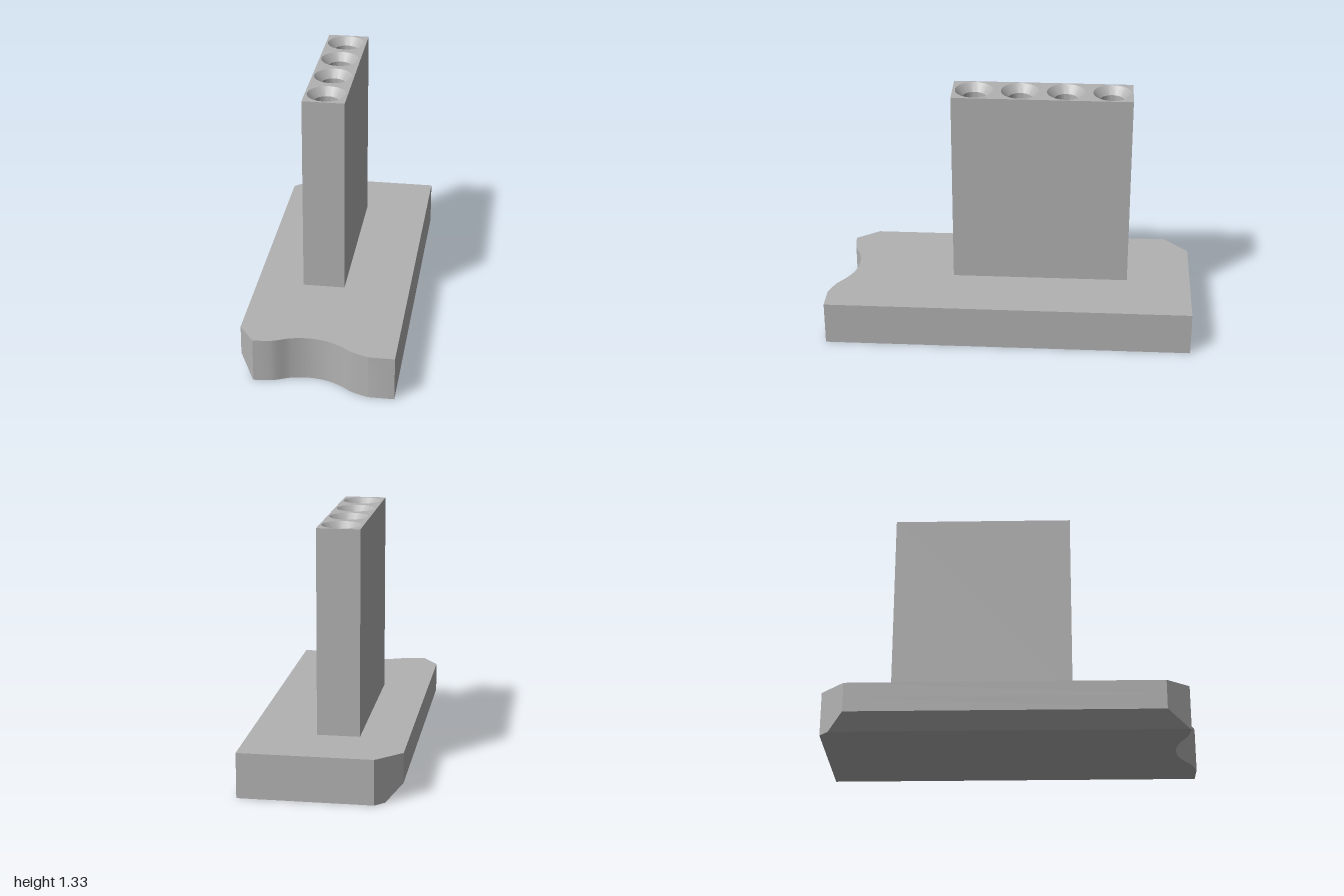
import * as THREE from 'three';
import { toCreasedNormals } from 'three/addons/utils/BufferGeometryUtils.js';

const BASE_TOP = 0.24, COLUMN_TOP = 1.33;
const grey = new THREE.MeshStandardMaterial({ color: 0xb2b2b2 });
grey.name = 'plain grey';

function part(name, geometry) {
  const mesh = new THREE.Mesh(toCreasedNormals(geometry, Math.PI / 7), grey);
  mesh.name = name;
  return mesh;
}

// Extrudes a plan shape (x, -z) upwards from height y.
function extrudeUp(shape, y, depth, steps = 1) {
  const g = new THREE.ExtrudeGeometry(shape, { depth, steps, bevelEnabled: false, curveSegments: 24 });
  return g.rotateX(-Math.PI / 2).translate(0, y, 0);
}

function createBase() {
  // Plan outline with cut corners and a wavy front edge
  const shape = new THREE.Shape();
  shape.moveTo(-0.417, -0.8);
  shape.lineTo(-0.33, -0.925);
  shape.splineThru([
    [-0.23, -0.914], [-0.14, -0.878], [-0.045, -0.865], [0.05, -0.88],
    [0.13, -0.92], [0.19, -0.963], [0.28, -1],
  ].map(([x, y]) => new THREE.Vector2(x, y)));
  shape.lineTo(0.417, -1);
  shape.lineTo(0.417, 1);
  shape.lineTo(-0.285, 1);
  shape.lineTo(-0.417, 0.87);

  // Three layers; the outer bottom corners slide inwards to chamfer the lower edge
  const g = extrudeUp(shape, 0, BASE_TOP, 3);
  const p = g.attributes.position;
  for (let i = 0; i < p.count; i++) {
    if (p.getY(i) < 0.01 && p.getX(i) < -0.4) {
      p.setX(i, -0.335);
      p.setZ(i, p.getZ(i) > 0 ? 0.918 : -0.951);
    }
  }
  return part('base', g);
}

export function createModel() {
  const model = new THREE.Group();
  model.name = 'blockOnBase';
  model.add(createBase());

  // Upright column with four countersunk holes in its top
  const x0 = -0.163, x1 = 0.063, z0 = -0.65, z1 = 0.32, cx = -0.05;
  const column = new THREE.Shape([[x0, -z1], [x1, -z1], [x1, -z0], [x0, -z0]]
    .map(([x, y]) => new THREE.Vector2(x, y)));
  const profile = [[0.103, COLUMN_TOP], [0.065, COLUMN_TOP - 0.042], [0.065, BASE_TOP + 0.005], [0, BASE_TOP + 0.005]]
    .map(([r, y]) => new THREE.Vector2(r, y));

  for (let i = 0; i < 4; i++) {
    const z = -0.538 + i * 0.247;
    column.holes.push(new THREE.Path().absarc(cx, -z, 0.103, 0, Math.PI * 2, true));
    const hole = part('countersunkHole' + (i + 1), new THREE.LatheGeometry(profile, 48));
    hole.position.set(cx, 0, z);
    model.add(hole);
  }
  model.add(part('column', extrudeUp(column, BASE_TOP, COLUMN_TOP - BASE_TOP)));
  return model;
}
